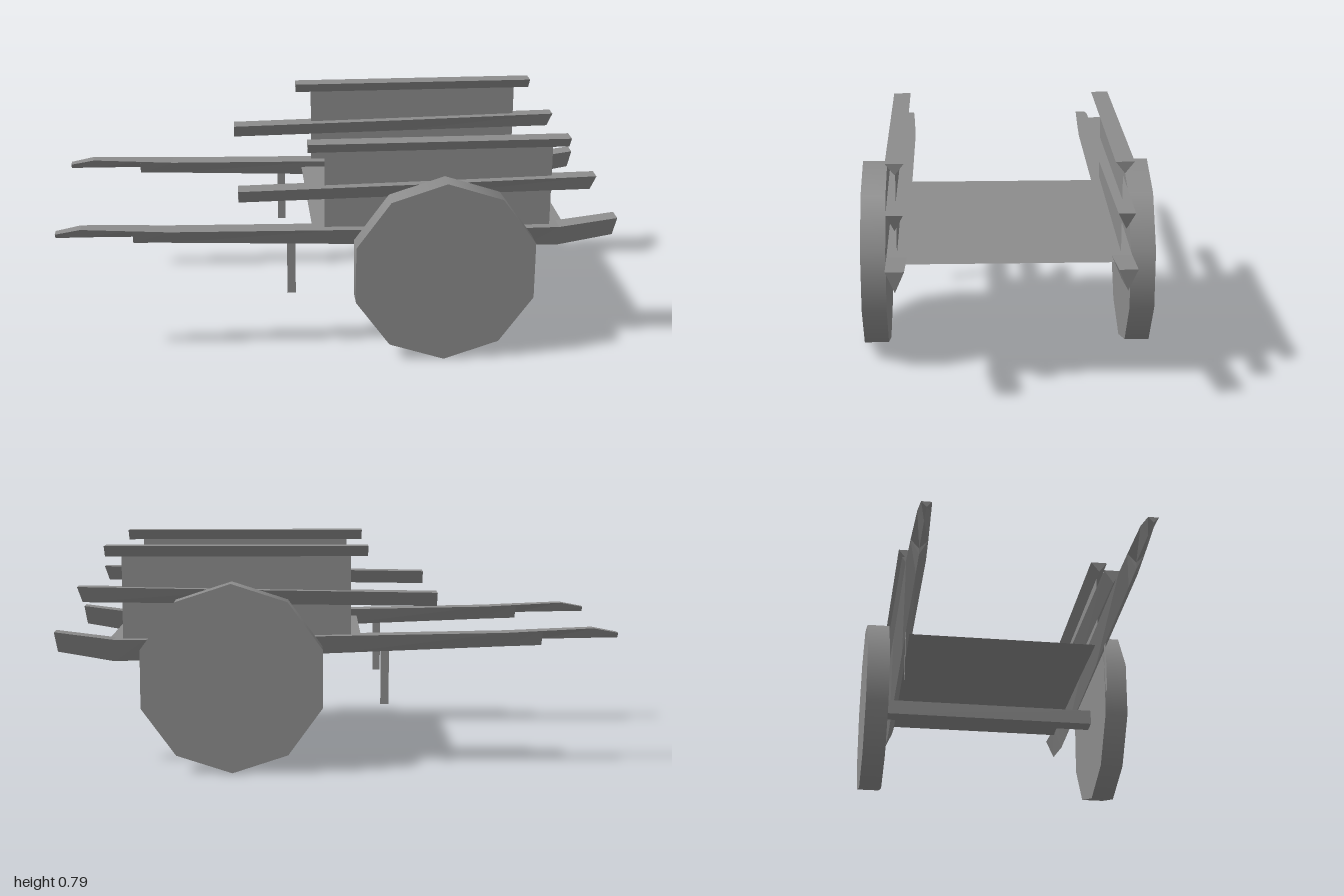
import * as THREE from 'three';

const grey = new THREE.MeshStandardMaterial({ color: 0x8c8c8c });
grey.name = 'weathered grey';
const greySheet = new THREE.MeshStandardMaterial({ color: 0x8c8c8c, side: THREE.DoubleSide });
greySheet.name = 'weathered grey sheet';

// Beam with a flat top and a pointed underside, lofted along x.
// Section: [x of top, top y, bottom y, half width, x of bottom (optional)]
function beam(sections) {
  const rings = sections.map(([x, top, bottom, w, xb = x]) => [[x, top, w], [x, top, -w], [xb, bottom, 0]]);
  const pos = [];
  const tri = (...points) => points.forEach((p) => pos.push(...p));
  for (let i = 0; i < rings.length - 1; i++) {
    const r = rings[i], s = rings[i + 1];
    for (let j = 0; j < 3; j++) {
      const k = (j + 1) % 3;
      tri(r[j], s[j], s[k]);
      tri(r[j], s[k], r[k]);
    }
  }
  const first = rings[0], last = rings[rings.length - 1];
  tri(first[0], first[1], first[2]);
  tri(last[0], last[2], last[1]);
  const g = new THREE.BufferGeometry();
  g.setAttribute('position', new THREE.Float32BufferAttribute(pos, 3));
  g.computeVertexNormals();
  return g;
}

export function createModel() {
  const cart = new THREE.Group();
  cart.name = 'handCart';
  const add = (name, geometry, material, x, y, z) => {
    const mesh = new THREE.Mesh(geometry, material);
    mesh.name = name;
    mesh.position.set(x, y, z);
    cart.add(mesh);
    return mesh;
  };

  // Long shaft: slim handle, step, then the deeper body with an upturned tail
  const shaft = beam([
    [-1, 0.483, 0.463, 0.018],
    [-0.91, 0.5, 0.463, 0.023],
    [-0.73, 0.492, 0.46, 0.03],
    [-0.729, 0.492, 0.437, 0.03],
    [-0.6, 0.486, 0.433, 0.034],
    [0, 0.476, 0.41, 0.034],
    [0.68, 0.464, 0.386, 0.034],
    [0.79, 0.464, 0.382, 0.034],
    [1, 0.491, 0.417, 0.031, 0.992],
  ]);
  const middleRail = beam([
    [-0.355, 0.629, 0.578, 0.033],
    [0.3, 0.64, 0.587, 0.034],
    [0.915, 0.651, 0.594, 0.028, 0.9],
  ]);
  const topRail = beam([[-0.11, 0.795, 0.756, 0.031], [0.818, 0.795, 0.756, 0.031]]);

  const wheel = new THREE.CylinderGeometry(0.335, 0.335, 0.085, 10).rotateX(Math.PI / 2);
  const panel = new THREE.PlaneGeometry(0.81, 0.335);
  const leg = new THREE.PlaneGeometry(0.03, 0.215);

  // Everything that exists once on each side
  for (const [side, s] of [['front', 1], ['back', -1]]) {
    const z = 0.373 * s;
    add(side + 'Shaft', shaft, grey, 0, 0, z);
    add(side + 'MiddleRail', middleRail, grey, 0, 0, z);
    add(side + 'TopRail', topRail, grey, 0, 0, z);
    add(side + 'Panel', panel, greySheet, 0.355, 0.6125, z);
    add(side + 'Leg', leg, greySheet, -0.17, 0.3325, z);
    add(side + 'Wheel', wheel, grey, 0.37, 0.337, 0.4575 * s);
  }

  // Cart bed and axle
  add('bed', new THREE.PlaneGeometry(0.91, 0.73).rotateX(-Math.PI / 2), greySheet, 0.365, 0.45, 0);
  add('axle', new THREE.BoxGeometry(0.065, 0.057, 0.84), grey, 0.377, 0.338, 0);

  return cart;
}
